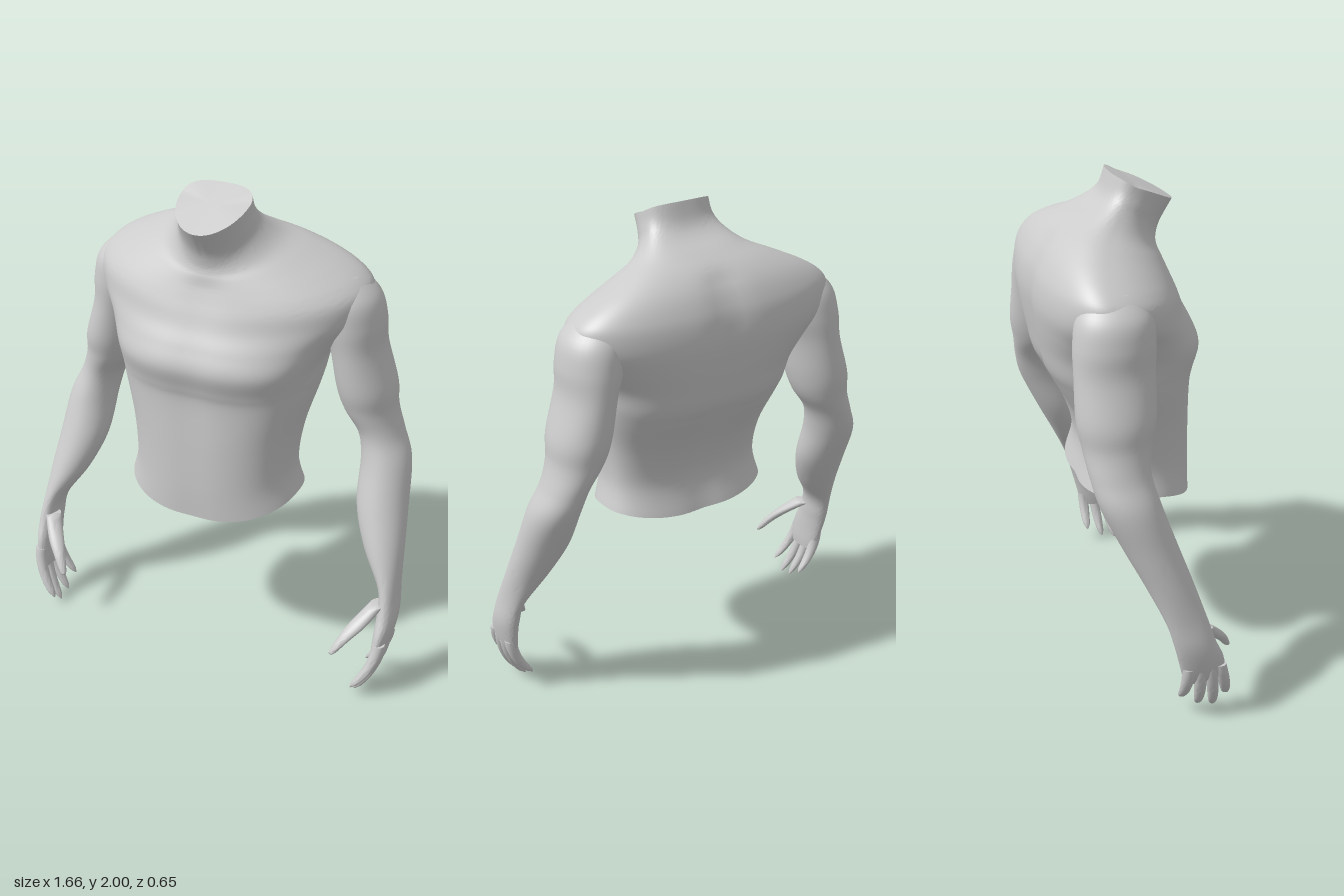
import * as THREE from 'three';
import { toCreasedNormals } from 'three/addons/utils/BufferGeometryUtils.js';

const material = new THREE.MeshStandardMaterial({ color: 0xcccccc, side: THREE.DoubleSide });

// Catmull-Rom interpolation of every column of a table of cross-sections
function refine(rows, steps) {
  const out = [];
  const at = i => rows[Math.min(rows.length - 1, Math.max(0, i))];
  for (let i = 0; i < rows.length - 1; i++) {
    for (let k = 0; k < steps; k++) {
      const t = k / steps;
      out.push(rows[i].map((b, c) => {
        const a = at(i - 1)[c], d = at(i + 1)[c], e = at(i + 2)[c];
        return b + 0.5 * t * (d - a + t * (2 * a - 5 * b + 4 * d - e + t * (3 * (b - d) + e - a)));
      }));
    }
  }
  out.push(rows[rows.length - 1]);
  return out;
}

// Skin closed rings (listed from the bottom up) and cap both ends
function loft(name, rows, segments, pointAt) {
  const pos = [], index = [];
  for (const row of rows) {
    for (let j = 0; j < segments; j++) pos.push(...pointAt(row, (j / segments) * Math.PI * 2));
  }
  for (let i = 0; i < rows.length - 1; i++) {
    for (let j = 0; j < segments; j++) {
      const a = i * segments + j, b = i * segments + (j + 1) % segments;
      index.push(a, a + segments, b, b, a + segments, b + segments);
    }
  }
  for (const end of [0, rows.length - 1]) {
    const center = [0, 0, 0], c = pos.length / 3, start = end * segments;
    for (let j = 0; j < segments; j++) {
      for (let k = 0; k < 3; k++) center[k] += pos[(start + j) * 3 + k] / segments;
    }
    pos.push(...center);
    for (let j = 0; j < segments; j++) {
      const a = start + j, b = start + (j + 1) % segments;
      if (end === 0) index.push(c, a, b);
      else index.push(c, b, a);
    }
  }
  const geo = new THREE.BufferGeometry();
  geo.setAttribute('position', new THREE.Float32BufferAttribute(pos, 3));
  geo.setIndex(index);
  const mesh = new THREE.Mesh(toCreasedNormals(geo, 1.0), material);
  mesh.name = name;
  return mesh;
}

// Ring: half width, y at side / front / back, z at side / front / back, front roundness
const TORSO = [
  [0.36, 0.77, 0.69, 0.74, 0.04, 0.31, -0.15, 0.8],
  [0.335, 0.88, 0.82, 0.88, 0.04, 0.31, -0.12, 0.8],
  [0.35, 1.04, 1.0, 1.03, 0.03, 0.305, -0.16, 0.8],
  [0.39, 1.2, 1.19, 1.2, 0, 0.298, -0.25, 0.75],
  [0.405, 1.27, 1.26, 1.27, -0.02, 0.31, -0.285, 0.75],
  [0.425, 1.36, 1.35, 1.36, -0.04, 0.332, -0.305, 0.75],
  [0.48, 1.45, 1.43, 1.45, -0.08, 0.305, -0.32, 0.85],
  [0.555, 1.54, 1.5, 1.54, -0.1, 0.27, -0.328, 1],
  [0.565, 1.62, 1.56, 1.62, -0.11, 0.245, -0.32, 1],
  [0.53, 1.67, 1.6, 1.68, -0.11, 0.228, -0.3, 1],
  [0.45, 1.72, 1.64, 1.74, -0.1, 0.212, -0.265, 1],
  [0.33, 1.775, 1.68, 1.79, -0.07, 0.197, -0.215, 1],
  [0.23, 1.815, 1.705, 1.835, -0.02, 0.187, -0.145, 1],
  [0.17, 1.865, 1.735, 1.88, 0.03, 0.185, -0.065, 1],
  [0.15, 1.91, 1.79, 1.925, 0.07, 0.2, -0.025, 1],
  [0.143, 1.96, 1.88, 2.0, 0.08, 0.253, 0, 1],
];

function torsoPoint([w, ys, yf, yb, zs, zf, zb, roundness], t) {
  const c = Math.cos(t), s = Math.sin(t);
  const e = s > 0 ? roundness : 0.8;
  const x = w * Math.sign(c) * Math.abs(c) ** e;
  const depth = Math.abs(s) ** e;
  let z = s > 0 ? zs + (zf - zs) * depth : zs + (zb - zs) * depth;
  // shallow grooves along the breastbone and the spine
  const groove = Math.exp(-((x / 0.07) ** 2)) * THREE.MathUtils.smoothstep(w, 0.25, 0.45) * Math.abs(s);
  z += s > 0 ? -0.008 * groove : 0.018 * groove;
  const y = ys + s * (yf - yb) / 2 + s * s * ((yf + yb) / 2 - ys);
  return [x, y, z];
}

// Limb ring: y, center x, center z, radius x, radius z
const ARM = [
  [0.16, 0.765, 0.17, 0.012, 0.06],
  [0.2, 0.778, 0.166, 0.027, 0.084],
  [0.28, 0.788, 0.15, 0.036, 0.09],
  [0.36, 0.79, 0.122, 0.04, 0.083],
  [0.46, 0.777, 0.09, 0.042, 0.082],
  [0.6, 0.725, 0.035, 0.082, 0.093],
  [0.75, 0.686, -0.03, 0.104, 0.105],
  [0.92, 0.667, -0.1, 0.1, 0.115],
  [1.03, 0.63, -0.128, 0.09, 0.116],
  [1.13, 0.582, -0.128, 0.107, 0.132],
  [1.23, 0.56, -0.125, 0.118, 0.151],
  [1.39, 0.522, -0.12, 0.108, 0.153],
  [1.5, 0.5, -0.115, 0.122, 0.155],
  [1.6, 0.48, -0.11, 0.115, 0.14],
  [1.68, 0.455, -0.11, 0.06, 0.08],
];

const THUMB = [
  [0.212, 0.622, 0.317, 0.004, 0.004],
  [0.222, 0.629, 0.312, 0.014, 0.013],
  [0.275, 0.662, 0.28, 0.025, 0.022],
  [0.33, 0.703, 0.235, 0.034, 0.03],
  [0.4, 0.755, 0.165, 0.03, 0.04],
];

// Finger: base z, tip y, tip z
const FINGERS = {
  indexFinger: [0.225, 0.045, 0.285],
  middleFinger: [0.185, 0.0, 0.232],
  ringFinger: [0.143, 0.015, 0.17],
  littleFinger: [0.1, 0.06, 0.1],
};

function fingerRows([baseZ, tipY, tipZ]) {
  const rows = [];
  for (let i = 12; i >= 0; i--) {
    const f = i / 12;
    const r = 0.004 + (0.022 - 0.006 * f) * Math.sqrt(1 - f ** 6);
    rows.push([
      THREE.MathUtils.lerp(0.25, tipY, f),
      0.79 - 0.088 * f * f,
      THREE.MathUtils.lerp(baseZ, tipZ, f),
      r, r,
    ]);
  }
  return rows;
}

function createArm(side) {
  const arm = new THREE.Group();
  arm.name = side > 0 ? 'leftArm' : 'rightArm';
  const limbPoint = ([y, cx, cz, rx, rz], t) =>
    [side * cx + rx * Math.cos(t), y, cz + rz * Math.sin(t)];
  arm.add(loft('armAndPalm', refine(ARM, 6), 40, limbPoint));
  arm.add(loft('thumb', refine(THUMB, 5), 20, limbPoint));
  for (const [name, spec] of Object.entries(FINGERS)) {
    arm.add(loft(name, fingerRows(spec), 16, limbPoint));
  }
  return arm;
}

export function createModel() {
  const model = new THREE.Group();
  model.name = 'upperBody';
  model.add(loft('torsoAndNeck', refine(TORSO, 6), 96, torsoPoint));
  model.add(createArm(1), createArm(-1));
  return model;
}
